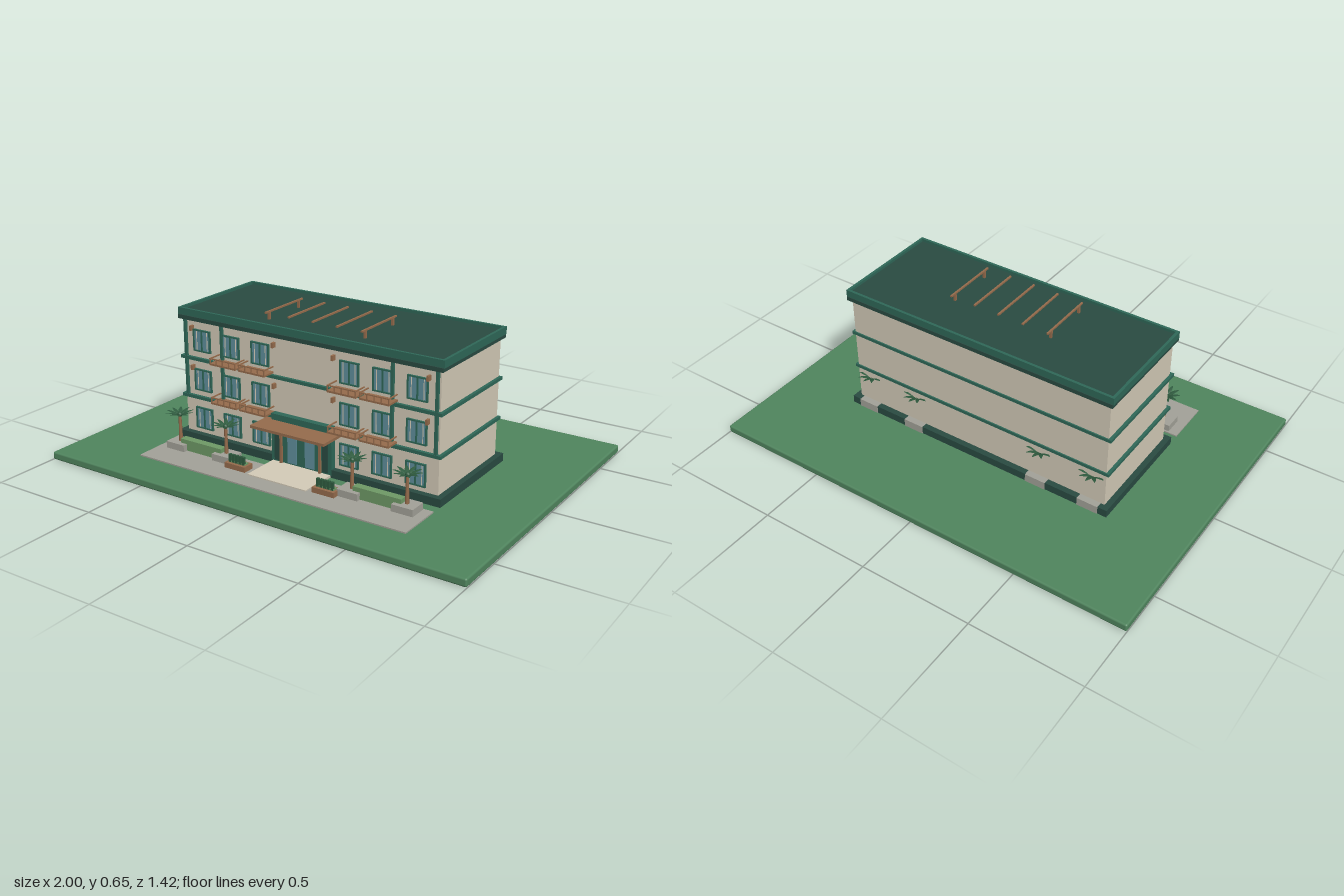
import * as THREE from 'three';
import { RoundedBoxGeometry } from 'three/addons/geometries/RoundedBoxGeometry.js';

const mat = (name, color) => {
  const m = new THREE.MeshStandardMaterial({ color });
  m.name = name;
  return m;
};

export function createModel() {
  const M = {
    wall: mat('cream wall', 0xd4cbb8),
    lawn: mat('lawn green', 0x50855e),
    dark: mat('dark teal', 0x2a4b42),
    teal: mat('teal trim', 0x2f6858),
    wood: mat('brown wood', 0x966c4c),
    glass: mat('blue glass', 0x5f8f9c),
    stone: mat('grey stone', 0xa3a299),
    hedge: mat('hedge green', 0x6f9a66),
    frond: mat('palm green', 0x2f5b3f),
  };
  M.frond.side = THREE.DoubleSide;
  const root = new THREE.Group();
  root.name = 'apartmentBuilding';

  const add = (parent, name, geo, material) => {
    const mesh = new THREE.Mesh(geo, material);
    mesh.name = name;
    parent.add(mesh);
    return mesh;
  };
  // box given by its extents on each axis
  const box = (parent, name, material, x0, x1, y0, y1, z0, z1) => {
    const mesh = add(parent, name, new THREE.BoxGeometry(x1 - x0, y1 - y0, z1 - z0), material);
    mesh.position.set((x0 + x1) / 2, (y0 + y1) / 2, (z0 + z1) / 2);
    return mesh;
  };
  const group = (name, x = 0, y = 0, z = 0) => {
    const g = new THREE.Group();
    g.name = name;
    g.position.set(x, y, z);
    root.add(g);
    return g;
  };

  // site
  const lawn = add(root, 'lawn', new RoundedBoxGeometry(2, 0.035, 1.42, 2, 0.008), M.lawn);
  lawn.position.y = 0.0175;
  box(root, 'pavement', M.stone, -0.655, 0.655, 0.033, 0.041, 0.325, 0.535);
  box(root, 'entranceWalk', M.wall, -0.145, 0.145, 0.033, 0.046, 0.27, 0.45);

  // main block
  box(root, 'foundation', M.dark, -0.655, 0.655, 0.033, 0.07, -0.273, 0.273);
  box(root, 'walls', M.wall, -0.63, 0.63, 0.07, 0.59, -0.246, 0.246);
  for (const y of [0.235, 0.41])
    box(root, 'floorBand', M.teal, -0.643, 0.643, y - 0.007, y + 0.007, -0.252, 0.26);
  box(root, 'cornice', M.dark, -0.645, 0.645, 0.582, 0.6, -0.263, 0.265);
  box(root, 'roofDeck', M.dark, -0.64, 0.64, 0.595, 0.618, -0.25, 0.25);
  for (const s of [-1, 1]) {
    box(root, 'longParapet', M.teal, -0.648, 0.648, 0.598, 0.63, s * 0.254 - 0.006, s * 0.254 + 0.006);
    box(root, 'sideParapet', M.teal, s * 0.642 - 0.006, s * 0.642 + 0.006, 0.598, 0.63, -0.26, 0.26);
    for (const x of [0.42, 0.617])
      box(root, 'facadePilaster', M.teal, s * x - 0.006, s * x + 0.006, 0.235, 0.585, 0.24, 0.258);
  }

  // roof bars, with posts under the outer ones
  for (let i = -2; i <= 2; i++) {
    const x = i * 0.118;
    box(root, 'roofBar', M.wood, x - 0.004, x + 0.004, 0.648, 0.655, -0.078, 0.187);
    if (Math.abs(i) === 2)
      for (const z of [-0.05, 0.16])
        box(root, 'roofBarPost', M.wood, x - 0.005, x + 0.005, 0.61, 0.65, z - 0.005, z + 0.005);
  }

  // windows: frame bars around two panes
  const addWindow = (x, y) => {
    const g = group('window', x, y, 0.246);
    const w = 0.043, h = 0.046, t = 0.003;
    box(g, 'windowGlass', M.glass, -w, w, -h, h, 0, 0.004);
    for (const px of [-w, 0, w])
      box(g, 'windowUpright', M.teal, px - t, px + t, -h, h, 0, 0.009);
    for (const s of [-1, 1]) {
      box(g, 'windowRail', M.teal, -w - t, w + t, s * h - t, s * h + t, 0, 0.009);
      box(g, 'paneEdge', M.wall, s * 0.028 - 0.0015, s * 0.028 + 0.0015, -h, h, 0, 0.006);
    }
  };

  // balcony: slab with an open rail
  const addBalcony = (x, y) => {
    const g = group('balcony', x, y, 0.246);
    const w = 0.068, d = 0.066, t = 0.0025;
    box(g, 'balconySlab', M.wood, -w, w, 0, 0.008, 0, d);
    box(g, 'frontRail', M.wood, -w, w, 0.026, 0.031, d - 2 * t, d);
    for (const s of [-1, 1])
      box(g, 'sideRail', M.wood, s * (w - t) - t, s * (w - t) + t, 0.026, 0.031, 0, d);
    for (let i = 0; i < 5; i++) {
      const px = (i - 2) * (w - t) / 2;
      box(g, 'railPost', M.wood, px - 0.0018, px + 0.0018, 0.008, 0.028, d - 2 * t, d);
    }
  };

  for (const s of [-1, 1]) {
    for (const x of [0.53, 0.375, 0.22])
      for (const y of [0.14, 0.316, 0.494]) addWindow(s * x, y);
    for (const x of [0.373, 0.222])
      for (const y of [0.246, 0.421]) addBalcony(s * x, y);
    for (const x of [0.147, 0.58])
      for (const y of [0.37, 0.547])
        box(root, 'wallLamp', M.wood, s * x - 0.005, s * x + 0.005, y - 0.011, y + 0.011, 0.244, 0.267);
  }

  // entrance: surround, glass doors, canopy and posts
  box(root, 'entranceSurround', M.teal, -0.15, 0.15, 0.045, 0.255, 0.24, 0.274);
  for (const s of [-1, 1]) {
    box(root, 'doorGlass', M.glass, s * 0.044 - 0.023, s * 0.044 + 0.023, 0.052, 0.183, 0.27, 0.278);
    box(root, 'sidelight', M.dark, s * 0.12 - 0.014, s * 0.12 + 0.014, 0.052, 0.183, 0.27, 0.277);
    box(root, 'canopyPost', M.wood, s * 0.097 - 0.005, s * 0.097 + 0.005, 0.045, 0.218, 0.276, 0.286);
  }
  box(root, 'canopy', M.wood, -0.183, 0.183, 0.216, 0.228, 0.25, 0.377);

  // one palm leaf: a folded blade rising towards its tip
  const leaf = new THREE.PlaneGeometry(1, 1, 2, 5);
  const p = leaf.attributes.position;
  for (let i = 0; i < p.count; i++) {
    const side = p.getX(i) * 2, u = p.getY(i) + 0.5;
    const half = 0.009 * Math.sin(Math.PI * (0.12 + 0.86 * u));
    p.setXYZ(i, side * half, 0.018 * u * (2 - u) - 0.004 * Math.abs(side) * (1 - u), u * 0.062);
  }
  leaf.computeVertexNormals();
  const trunk = new THREE.CylinderGeometry(0.006, 0.009, 0.125, 8);

  const addPalm = (x, z) => {
    const g = group('palm', x, 0, z);
    box(g, 'palmPlanter', M.stone, -0.048, 0.048, 0.035, 0.071, -0.04, 0.04);
    add(g, 'palmTrunk', trunk, M.wood).position.y = 0.13;
    const crown = add(g, 'palmHeart', new THREE.SphereGeometry(0.011, 8, 6), M.frond);
    crown.position.y = 0.192;
    for (let i = 0; i < 10; i++) {
      const f = add(g, 'palmLeaf', leaf, M.frond);
      f.position.y = 0.187;
      f.rotation.y = (i * Math.PI) / 5;
    }
  };

  for (const s of [-1, 1]) {
    for (const x of [0.565, 0.315]) {
      addPalm(s * x, 0.373);
      addPalm(s * x, -0.236);
    }
    box(root, 'hedge', M.hedge, s * 0.44 - 0.11, s * 0.44 + 0.11, 0.035, 0.09, 0.357, 0.392);

    // flower box beside the walk
    const g = group('flowerBox', s * 0.22, 0, 0.413);
    box(g, 'woodenTrough', M.wood, -0.052, 0.052, 0.038, 0.064, -0.027, 0.027);
    box(g, 'troughPlanting', M.hedge, -0.042, 0.042, 0.06, 0.07, -0.013, 0.013);
    for (let i = -2; i <= 2; i++)
      box(g, 'shrub', M.frond, i * 0.017 - 0.006, i * 0.017 + 0.006, 0.065, 0.1, 0.002, 0.014);
  }
  return root;
}
